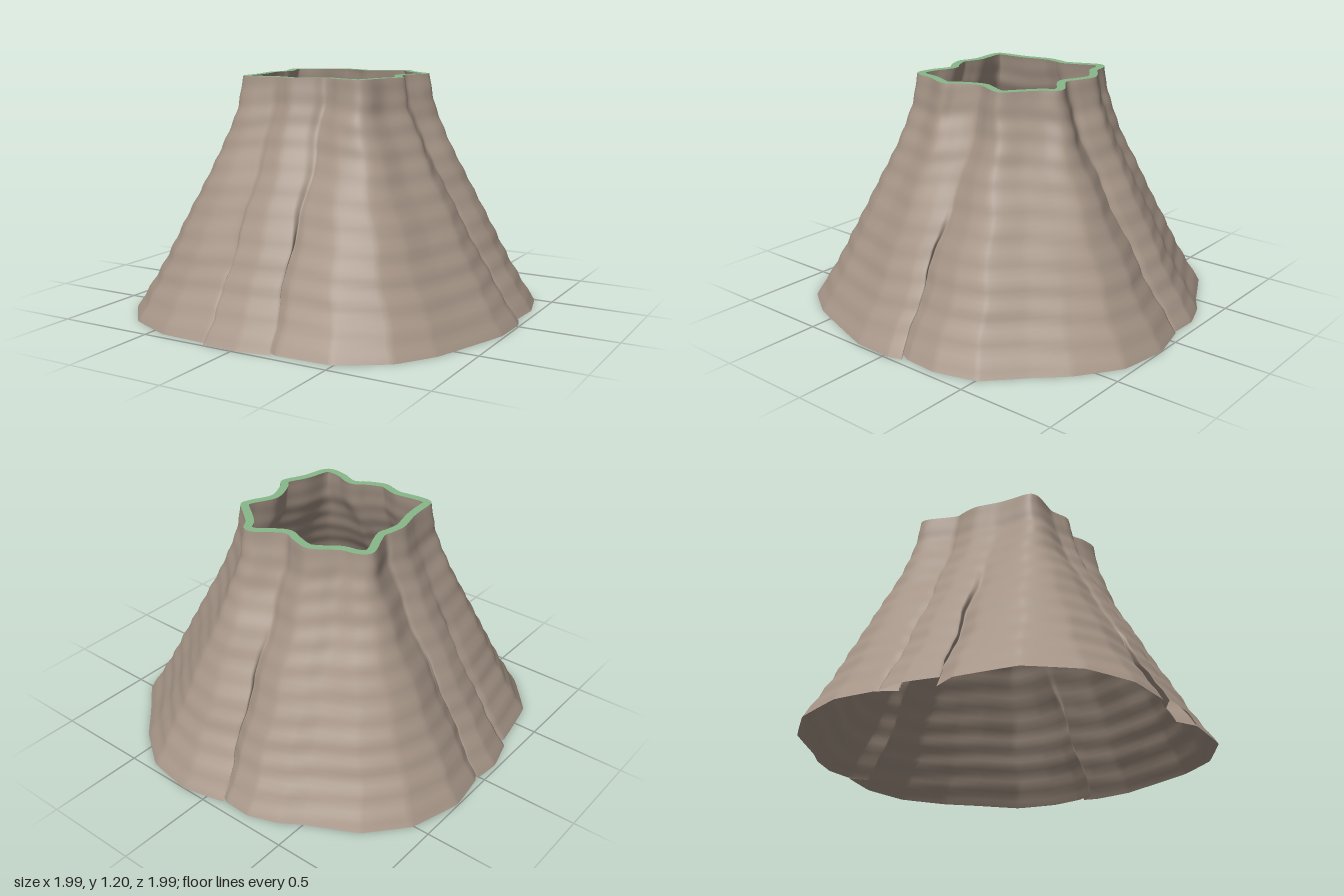
import * as THREE from 'three';

const HEIGHT = 1.2;
const RIM = 0.042;
const ROWS = 60;
const STEPS = 6; // samples between neighbouring outline points

// Matching x, z outline points of the cut top and of the flared foot
const TOP = [
  0.37, 0.24, 0.345, 0.35, 0.30, 0.39, 0.21, 0.38, 0.15, 0.355,
  0.11, 0.35, 0.06, 0.385, -0.03, 0.42, -0.09, 0.405,
  -0.14, 0.39, -0.19, 0.395, -0.27, 0.405, -0.32, 0.40, -0.345, 0.37, -0.352, 0.28,
  -0.36, 0.21, -0.375, 0.15, -0.39, 0.08, -0.38, 0,
  -0.37, -0.04, -0.385, -0.09, -0.43, -0.20, -0.42, -0.25, -0.37, -0.28,
  -0.30, -0.295, -0.23, -0.345, -0.155, -0.38, -0.06, -0.355,
  0, -0.33, 0.05, -0.35, 0.14, -0.415, 0.20, -0.415, 0.245, -0.355,
  0.31, -0.30, 0.395, -0.23, 0.39, -0.17, 0.355, -0.10,
  0.34, -0.055, 0.355, 0, 0.385, 0.06, 0.42, 0.12,
];
const FOOT = [
  0.91, 0.41, 0.845, 0.60, 0.72, 0.79, 0.495, 0.935, 0.21, 0.95,
  0.192, 0.945, 0.19, 0.957, 0.02, 0.99, -0.165, 0.99,
  -0.165, 0.975, -0.178, 0.965, -0.43, 0.955, -0.67, 0.85, -0.85, 0.64, -0.907, 0.345,
  -0.912, 0.315, -0.935, 0.297, -0.98, 0.13, -0.965, -0.01,
  -0.962, -0.02, -0.967, -0.035, -0.995, -0.24, -0.915, -0.505, -0.745, -0.70,
  -0.50, -0.825, -0.40, -0.89, -0.25, -0.945, -0.105, -0.94,
  -0.09, -0.94, -0.09, -0.947, 0.13, -1, 0.38, -0.96, 0.59, -0.815,
  0.73, -0.67, 0.90, -0.505, 0.96, -0.29, 0.95, -0.12,
  0.955, -0.105, 0.965, -0.095, 0.99, -0.02, 0.985, 0.18,
];
const COUNT = TOP.length / 2;
const SEGMENTS = COUNT * STEPS;

// Bark folds: outline point -> x, z tuck behind the neighbouring lobe, flare at which it starts
const FOLDS = {
  5: [-0.09, -0.05, 0.3], 9: [0.09, -0.05, 0.55], 15: [0.05, -0.09, 0.2],
  19: [0.05, 0.08, 0.2], 28: [0.08, 0.06, 0.2], 37: [-0.05, 0.09, 0.25],
};

// How far the wall has flared out at each height
const FLARE = new THREE.SplineCurve([
  [0, 1], [0.2, 0.785], [0.4, 0.6], [0.64, 0.38], [0.82, 0.215], [0.95, 0.115], [1.06, 0.045], [HEIGHT, 0],
].map(([y, f]) => new THREE.Vector2(f, y)));

// One closed cross-section, optionally moved inward by the wall thickness
function ring(t, inner) {
  const { x: f, y } = FLARE.getPoint(t);
  const fade = Math.min(1, t * 12, (1 - t) * 8);
  const points = [];
  for (let i = 0; i < COUNT; i++) {
    const x = THREE.MathUtils.lerp(TOP[2 * i], FOOT[2 * i], f);
    const z = THREE.MathUtils.lerp(TOP[2 * i + 1], FOOT[2 * i + 1], f);
    const angle = Math.atan2(z, x);
    // horizontal growth ripples and a slight sideways wander of the folds
    const scale = 1 + fade * 0.0045 * Math.sin(y * 58 + 1.5 * Math.sin(angle * 3));
    const wander = fade * 0.008 * Math.sin(y * 19 + angle * 2);
    const [tuckX, tuckZ, start] = FOLDS[i] ?? [0, 0, 0];
    const tuck = THREE.MathUtils.smoothstep(f, start, 1);
    points.push(new THREE.Vector3(
      x * scale - Math.sin(angle) * wander + tuckX * tuck, y,
      z * scale + Math.cos(angle) * wander + tuckZ * tuck));
  }
  // rounded outline at the top, straighter facets towards the foot
  const curve = new THREE.CatmullRomCurve3(points, true, 'catmullrom', THREE.MathUtils.lerp(0.5, 0.08, f));
  const thickness = inner ? RIM * (1 - f) ** 3 : 0;
  const result = [];
  for (let i = 0; i < SEGMENTS; i++) {
    const p = curve.getPoint(i / SEGMENTS);
    const d = curve.getTangent(i / SEGMENTS);
    result.push(new THREE.Vector3(p.x - d.z * thickness, y, p.z + d.x * thickness));
  }
  return result;
}

// Skin a list of closed rings
function skin(name, rings, material) {
  const index = [];
  for (let r = 0; r < rings.length - 1; r++) {
    for (let i = 0; i < SEGMENTS; i++) {
      const a = r * SEGMENTS + i;
      const b = r * SEGMENTS + (i + 1) % SEGMENTS;
      index.push(a, a + SEGMENTS, b, b, a + SEGMENTS, b + SEGMENTS);
    }
  }
  const geometry = new THREE.BufferGeometry().setFromPoints(rings.flat());
  geometry.setIndex(index);
  geometry.computeVertexNormals();
  const mesh = new THREE.Mesh(geometry, material);
  mesh.name = name;
  return mesh;
}

export function createModel() {
  const bark = new THREE.MeshStandardMaterial({ color: 0xa69587, side: THREE.DoubleSide });
  bark.name = 'bark brown';
  const green = new THREE.MeshStandardMaterial({ color: 0x89b88b });
  green.name = 'rim green';

  const outer = [];
  const inner = [];
  for (let r = 0; r <= ROWS; r++) {
    outer.push(ring(r / ROWS, false));
    inner.push(ring(1 - r / ROWS, true));
  }

  const group = new THREE.Group();
  group.name = 'hollowStump';
  group.add(
    skin('outerBark', outer, bark),
    skin('cutRim', [outer[ROWS], inner[0]], green),
    skin('innerWall', inner, bark),
  );
  return group;
}
